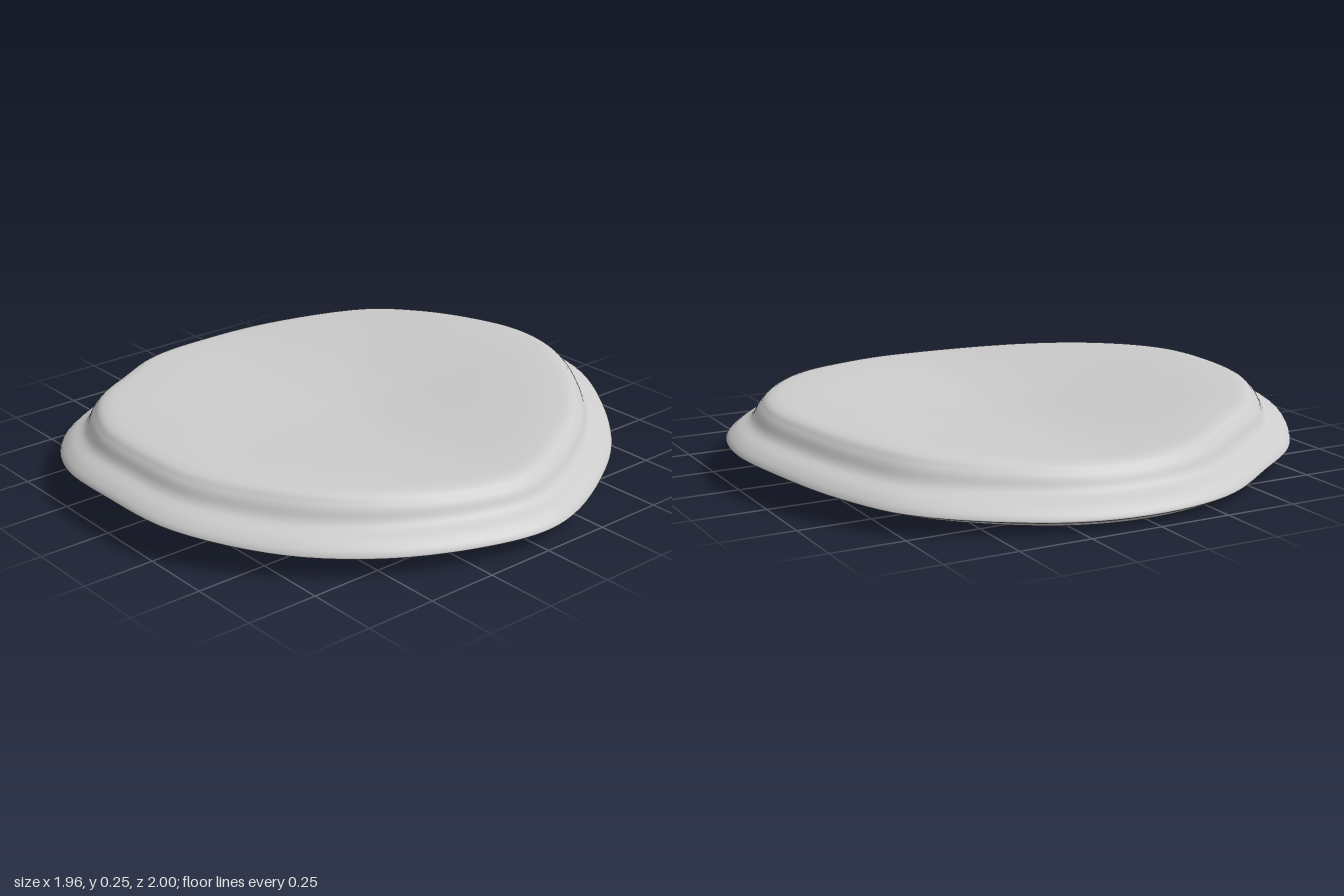
import * as THREE from 'three';
import { mergeVertices } from 'three/addons/utils/BufferGeometryUtils.js';

// Widest edge of the stone, clockwise from the back: x, height, z
const EDGE = [
  [0, 0.12, -1], [0.25, 0.12, -0.95], [0.5, 0.105, -0.8], [0.7, 0.09, -0.62],
  [0.82, 0.075, -0.45], [0.95, 0.065, -0.18], [0.98, 0.063, 0], [0.93, 0.068, 0.25],
  [0.8, 0.075, 0.53], [0.6, 0.09, 0.77], [0.3, 0.12, 0.96], [0, 0.13, 0.995],
  [-0.3, 0.11, 0.96], [-0.6, 0.07, 0.79], [-0.78, 0.055, 0.55], [-0.93, 0.043, 0.3],
  [-0.98, 0.04, 0], [-0.93, 0.045, -0.32], [-0.72, 0.07, -0.72], [-0.5, 0.09, -0.87],
  [-0.25, 0.11, -0.96],
];

// Cross-section: share of the radius, and level (-1 underside, 0 edge, 1 top)
const SECTION = [
  [0, -1], [0.4, -1], [0.78, -1], [0.92, -0.88], [0.97, -0.4], [1, 0], [0.965, 0.25],
  [0.915, 0.42], [0.88, 0.78], [0.835, 0.98], [0.76, 1], [0.5, 1], [0.25, 1], [0, 1],
];

// Underside, bowed up toward the front and back
const underside = (x, z) => 0.003 + 0.085 * z * z + 0.035 * Math.max(0, x) ** 3;

// Dished top with a rim that is higher at the front and back
function topside(x, z, share) {
  const r = Math.hypot(x, z) || 1;
  const rim = 0.197 + 0.06 * Math.abs(z / r) ** 1.5 + 0.012 * (x / r);
  return THREE.MathUtils.lerp(0.175, rim, THREE.MathUtils.smoothstep(share, 0, 0.85));
}

function createStoneGeometry(around = 120, across = 72) {
  const edge = new THREE.CatmullRomCurve3(EDGE.map((p) => new THREE.Vector3(...p)), true);
  const section = new THREE.CatmullRomCurve3(SECTION.map(([s, f]) => new THREE.Vector3(s, f, 0)));
  const positions = [];
  const indices = [];
  for (let j = 0; j <= across; j++) {
    const { x: share, y: level } = section.getPoint(j / across);
    for (let i = 0; i < around; i++) {
      const rim = edge.getPoint(i / around);
      const x = rim.x * share;
      const z = rim.z * share;
      const surface = level < 0 ? underside(x, z) : topside(x, z, share);
      positions.push(x, THREE.MathUtils.lerp(rim.y, surface, Math.abs(level)), z);
      if (j === across) continue;
      const a = j * around + i;
      const b = j * around + ((i + 1) % around);
      if (j < across - 1) indices.push(a, a + around, b + around);
      if (j > 0) indices.push(a, b + around, b);
      if (j === across - 1) indices.push(a, a + around, b);
    }
  }
  const geometry = new THREE.BufferGeometry();
  geometry.setAttribute('position', new THREE.Float32BufferAttribute(positions, 3));
  geometry.setIndex(indices.filter((_, k) => k >= 0));
  const merged = mergeVertices(geometry, 1e-5);
  merged.computeVertexNormals();
  return merged;
}

export function createModel() {
  const group = new THREE.Group();
  group.name = 'flatStone';
  const stone = new THREE.Mesh(
    createStoneGeometry(),
    new THREE.MeshStandardMaterial({ color: 0xcccccc }),
  );
  stone.name = 'stone';
  group.add(stone);
  return group;
}
